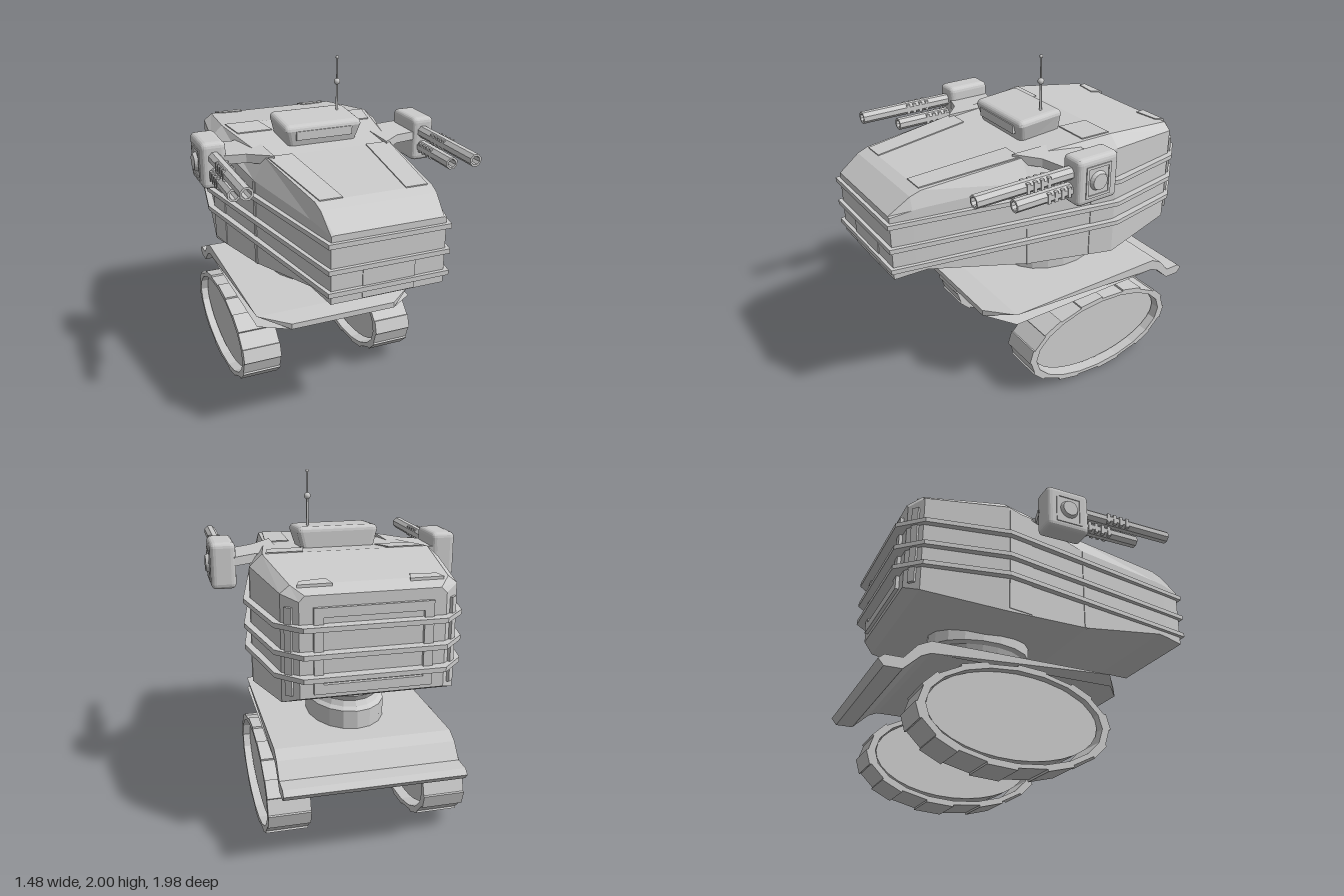
import * as THREE from 'three';
import { RoundedBoxGeometry } from 'three/addons/geometries/RoundedBoxGeometry.js';

const flat = new THREE.MeshStandardMaterial({ color: 0xcccccc, flatShading: true, side: THREE.DoubleSide });
const smooth = new THREE.MeshStandardMaterial({ color: 0xcccccc });

function add(parent, name, geometry, x = 0, y = 0, z = 0, material = flat) {
  const mesh = new THREE.Mesh(geometry, material);
  mesh.name = name;
  mesh.position.set(x, y, z);
  parent.add(mesh);
  return mesh;
}
const box = (w, h, d) => new THREE.BoxGeometry(w, h, d);
const shapeOf = (pts) => new THREE.Shape(pts.map(([a, b]) => new THREE.Vector2(a, b)));

// Profile of [z, y] points, extruded across x and centred
function across(shape, width) {
  return new THREE.ExtrudeGeometry(shape, { depth: width, bevelEnabled: false })
    .rotateY(-Math.PI / 2).translate(width / 2, 0, 0);
}
// Plan of [x, z] points with its top face at y = 0
function plan(shape, height) {
  return new THREE.ExtrudeGeometry(shape, { depth: height, bevelEnabled: false }).rotateX(Math.PI / 2);
}
function bend(geometry, rule) {
  const p = geometry.attributes.position, v = new THREE.Vector3();
  for (let i = 0; i < p.count; i++) {
    rule(v.fromBufferAttribute(p, i));
    p.setXYZ(i, v.x, v.y, v.z);
  }
  geometry.computeVertexNormals();
  return geometry;
}
const bothSides = (half) => [...half, ...half.map(([x, z]) => [-x, z]).reverse()];
const deckY = (z) => (z > -0.33 ? 1.556 - 0.0885 * z : 1.585 + (z + 0.33) * 0.117);

// Hull lofted from stations: z, bottom, half width, side top, deck half width, deck top
function hullGeometry() {
  const stations = [
    [0.96, 1.01, 0.315, 1.375, 0.3, 1.38],
    [0.84, 1.025, 0.34, 1.395, 0.32, 1.465],
    [0.78, 1.03, 0.35, 1.4, 0.325, 1.487],
    [0.2, 0.91, 0.448, 1.415, 0.38, 1.538],
    [-0.33, 0.86, 0.54, 1.52, 0.47, 1.585],
    [-0.8, 0.92, 0.46, 1.49, 0.41, 1.53],
    [-0.87, 0.955, 0.38, 1.46, 0.35, 1.49],
  ];
  const pos = [], idx = [];
  for (const [z, b, w, s, d, t] of stations)
    pos.push(-w, b, z, -w, s, z, -d, t, z, d, t, z, w, s, z, w, b, z);
  for (let i = 0; i < stations.length - 1; i++)
    for (let j = 0; j < 6; j++) {
      const a = i * 6 + j, b = i * 6 + (j + 1) % 6;
      idx.push(a, b, b + 6, a, b + 6, a + 6);
    }
  const last = (stations.length - 1) * 6;
  for (let k = 1; k < 5; k++) idx.push(0, k + 1, k, last, last + k, last + k + 1);
  const g = new THREE.BufferGeometry();
  g.setAttribute('position', new THREE.Float32BufferAttribute(pos, 3));
  g.setIndex(idx);
  const out = g.toNonIndexed();
  out.computeVertexNormals();
  return out;
}

function buildHull() {
  const hull = new THREE.Group();
  hull.name = 'hull';
  add(hull, 'hullBody', hullGeometry());

  // Wraparound guard rails
  for (const y of [1.332, 1.192, 1.07]) {
    const ring = shapeOf(bothSides([[0.335, 0.98], [0.58, -0.33], [0.495, -0.8], [0.37, -0.93]]));
    ring.holes.push(shapeOf(bothSides([[0.28, 0.92], [0.51, -0.33], [0.43, -0.77], [0.33, -0.85]])));
    add(hull, 'guardRail', plan(ring, 0.026), 0, y + 0.013, 0);
  }

  // Deck panels, side posts and gun arms, mirrored
  const deckPanels = [
    [[0.225, 0.205], [0.37, 0.205], [0.3, 0.78], [0.175, 0.78]],
    [[0.245, -0.33], [0.45, -0.33], [0.42, -0.17], [0.21, -0.17]],
    [[0.2, -0.82], [0.38, -0.82], [0.36, -0.77], [0.22, -0.75]],
  ];
  for (const s of [-1, 1]) {
    for (const pts of deckPanels) {
      const g = plan(shapeOf(pts.map(([x, z]) => [s * x, z])), 0.02);
      add(hull, 'deckPanel', bend(g, (v) => { v.y += deckY(v.z) + 0.006; }));
    }
    for (const [z, x, y, h, d] of [[0.2, 0.442, 1.16, 0.5, 0.025], [-0.25, 0.521, 1.19, 0.62, 0.15]])
      add(hull, 'sidePost', box(0.02, h, d), s * x, y, z).rotation.y = -s * 0.172;
    add(hull, 'rearPost', box(0.025, 0.46, 0.04), s * 0.425, 1.2, -0.835).rotation.y = s * 0.85;
    const arm = [[0.34, -0.2], [0.47, -0.13], [0.6, -0.17], [0.6, 0.085], [0.465, 0.13], [0.34, 0.24]];
    const g = plan(shapeOf(arm.map(([x, z]) => [s * x, z])), 0.05);
    add(hull, 'gunArm', bend(g, (v) => { v.y += 1.575 - Math.abs(v.x) * 0.06; }));
  }

  // Front hatch and framed rear grille
  add(hull, 'frontPanel', box(0.29, 0.17, 0.02), 0, 1.1, 0.955);
  const frame = shapeOf([[-0.31, 0.98], [0.31, 0.98], [0.31, 1.43], [-0.31, 1.43]]);
  frame.holes.push(shapeOf([[-0.26, 1.03], [0.26, 1.03], [0.26, 1.38], [-0.26, 1.38]]));
  add(hull, 'rearFrame', new THREE.ExtrudeGeometry(frame, { depth: 0.03, bevelEnabled: false }), 0, 0, -0.89);
  return hull;
}

function buildGunPod(s) {
  const pod = new THREE.Group();
  pod.name = 'gunPod';
  pod.position.set(s * 0.648, 0, 0);
  add(pod, 'podHousing', new RoundedBoxGeometry(0.142, 0.265, 0.265, 2, 0.03), 0, 1.488, -0.037);
  const rim = shapeOf([[-0.08, -0.09], [0.08, -0.09], [0.08, 0.09], [-0.08, 0.09]]);
  rim.holes.push(shapeOf([[-0.065, -0.075], [0.065, -0.075], [0.065, 0.075], [-0.065, 0.075]]));
  add(pod, 'podRim', across(rim, 0.014), s * 0.069, 1.485, -0.035);
  add(pod, 'podCap', new THREE.CylinderGeometry(0.045, 0.06, 0.03, 20).rotateZ(-s * Math.PI / 2), s * 0.076, 1.485, -0.035);
  // Hollow octagonal barrels with cooling ribs
  for (const [y, end, rib] of [[1.535, 0.67, 0.25], [1.443, 0.44, 0.12]]) {
    const octagon = (r) => Array.from({ length: 8 }, (_, i) => {
      const a = (i + 0.5) * Math.PI / 4;
      return [Math.cos(a) * r, Math.sin(a) * r];
    });
    const tube = shapeOf(octagon(0.037));
    tube.holes.push(shapeOf(octagon(0.025)));
    add(pod, 'barrel', new THREE.ExtrudeGeometry(tube, { depth: end - 0.06, bevelEnabled: false }), -s * 0.002, y, 0.06);
    for (let i = 0; i < 4; i++) add(pod, 'barrelRib', box(0.072, 0.058, 0.02), 0, y, rib + i * 0.042);
  }
  return pod;
}

function buildTread(x) {
  const tread = new THREE.Group();
  tread.name = 'tread';
  tread.position.set(x, 0.275, -0.282);
  const ellipse = (rz, ry, n = 20) => Array.from({ length: n }, (_, i) => {
    const a = i / n * Math.PI * 2;
    return [Math.cos(a) * rz, Math.sin(a) * ry];
  });
  const outer = ellipse(0.525, 0.265);
  const belt = shapeOf(outer);
  belt.holes.push(shapeOf(ellipse(0.485, 0.243)));
  add(tread, 'trackBelt', across(belt, 0.235));
  // Raised pads on alternate belt segments
  for (let i = 0; i < 20; i += 2) {
    const [az, ay] = outer[i], [bz, by] = outer[i + 1];
    const pad = add(tread, 'trackPad', box(0.235, 0.022, Math.hypot(bz - az, by - ay)), 0, (ay + by) / 2, (az + bz) / 2);
    pad.rotation.x = -Math.atan2(by - ay, bz - az);
  }
  add(tread, 'wheelDisc', across(shapeOf(ellipse(0.472, 0.228, 32)), 0.15), 0, 0.013, 0.003);
  return tread;
}

export function createModel() {
  const model = new THREE.Group();
  model.name = 'turretVehicle';
  const body = new THREE.Group();
  body.name = 'vehicleBody';
  body.position.x = -0.013;
  model.add(body);
  body.add(buildHull(), buildTread(-0.445), buildTread(0.43));

  // Oval turret neck with a concave waist
  const neck = [[0, 0.61], [0.222, 0.61], [0.222, 0.73], [0.2, 0.745], [0.187, 0.775], [0.2, 0.805], [0.222, 0.82], [0.222, 0.95], [0, 0.95]];
  const lathe = new THREE.LatheGeometry(neck.map(([r, y]) => new THREE.Vector2(r, y)), 18).scale(1, 1, 1.4);
  add(body, 'turretNeck', lathe, 0, 0, -0.282);

  // Platform with cut front corners and a dropped tail
  const profile = [[0.44, 0.575], [0.44, 0.61], [0.31, 0.625], [-0.73, 0.625], [-0.8, 0.59], [-0.87, 0.51], [-0.965, 0.51],
    [-0.995, 0.485], [-0.965, 0.45], [-0.87, 0.45], [-0.78, 0.535], [-0.73, 0.558], [0.31, 0.558]];
  add(body, 'platform', bend(across(shapeOf(profile), 0.99), (v) => { if (v.z > 0.4) v.x *= 0.66; }));

  // Cupola, narrower at the bottom and sloping down to the front
  const cupola = bend(new RoundedBoxGeometry(0.47, 0.2, 0.29, 2, 0.03), (v) => {
    if (v.y < 0) { v.x *= 0.85; v.z -= v.z > 0 ? 0.03 : 0; }
    else v.y -= (v.z + 0.145) * 0.08;
  });
  add(body, 'cupola', cupola, 0.005, 1.59, -0.025);
  add(body, 'cupolaVisor', box(0.34, 0.05, 0.02), 0.005, 1.61, 0.115);

  for (const s of [-1, 1]) model.add(buildGunPod(s));

  // Antenna
  const antenna = new THREE.Group();
  antenna.name = 'antenna';
  antenna.position.set(0.15, 0, -0.07);
  model.add(antenna);
  add(antenna, 'antennaRod', new THREE.CylinderGeometry(0.004, 0.008, 0.32, 8), 0, 1.83, 0, smooth);
  add(antenna, 'antennaBall', new THREE.SphereGeometry(0.019, 12, 8), 0, 1.85, 0, smooth);
  add(antenna, 'antennaTip', new THREE.SphereGeometry(0.01, 10, 6), 0, 1.99, 0, smooth);
  return model;
}
